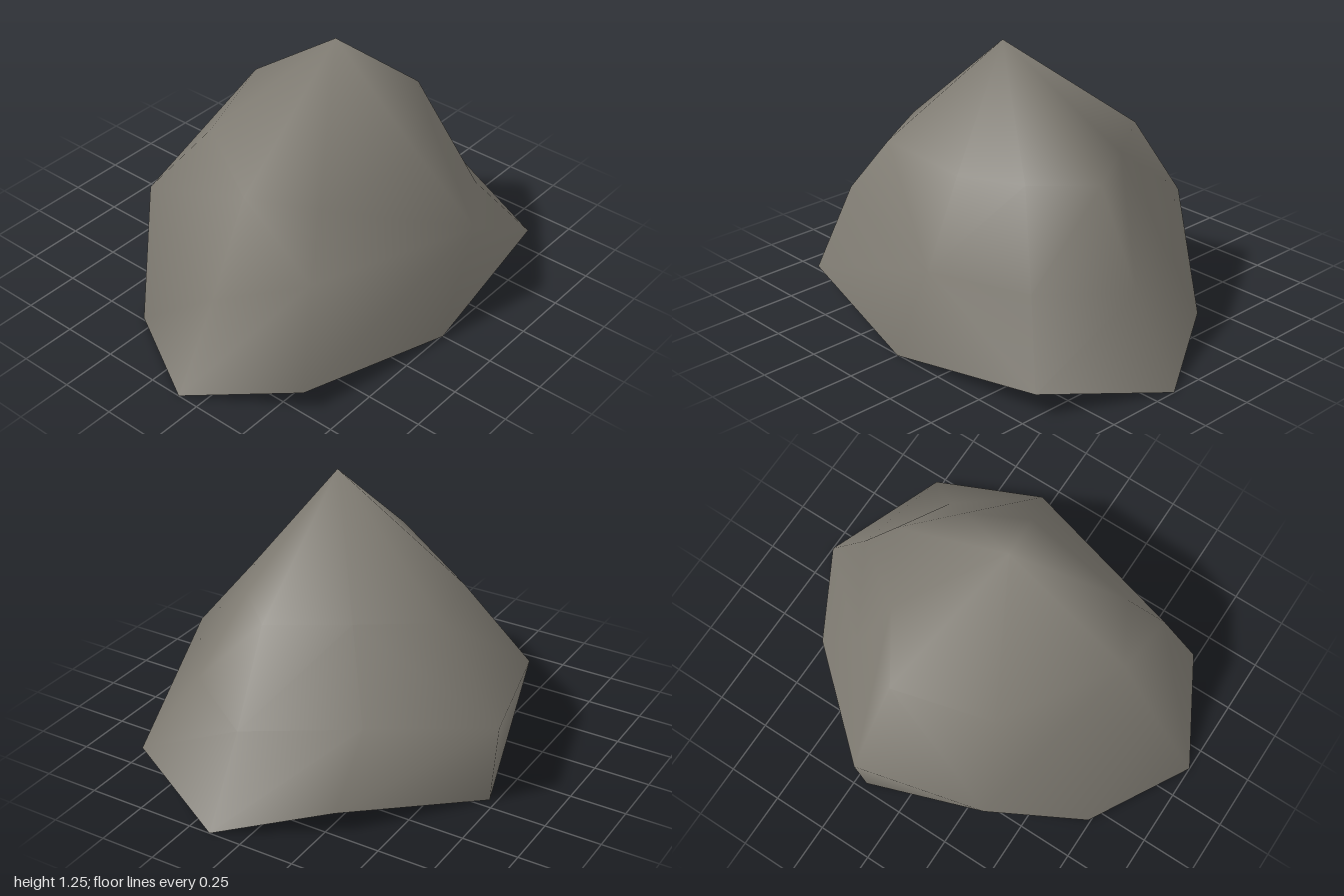
import * as THREE from 'three';

// Eight ridges running down from the peak, going round from +x towards +z.
// Each ridge: shoulder, waist and rim point.
const PEAK = [0, 1.245, 0.145];
const RIDGES = [
  [[0.58, 0.77, 0.15], [0.78, 0.37, 0.15], [1, 0, 0.15]],
  [[0.37, 0.77, 0.37], [0.55, 0.4, 0.51], [0.75, 0.1, 0.68]],
  [[0.11, 0.77, 0.505], [0.2, 0.46, 0.745], [0, 0, 0.755]],
  [[-0.43, 0.75, 0.42], [-0.59, 0.51, 0.51], [-0.74, 0.1, 0.6]],
  [[-0.58, 0.77, 0.15], [-0.78, 0.37, 0.15], [-1, 0, 0.15]],
  [[-0.25, 0.72, -0.34], [-0.37, 0.36, -0.61], [-0.74, 0, -0.31]],
  [[0.19, 0.77, -0.47], [0.21, 0.37, -0.755], [0.2, 0, -0.72]],
  [[0.39, 0.77, -0.165], [0.52, 0.38, -0.29], [0.74, 0.1, -0.29]],
];
const CENTRE = new THREE.Vector3(0, 0.3, 0.05);

function boulderGeometry() {
  const n = RIDGES.length;
  const rings = RIDGES[0].length;
  const positions = [...PEAK, ...RIDGES.flat(2)];
  const at = (ridge, ring) => 1 + (ridge % n) * rings + ring;
  const point = (i) => new THREE.Vector3().fromArray(positions, i * 3);
  // How far the middle of an edge bulges from the centre
  const bulge = (i, j) => point(i).lerp(point(j), 0.5).distanceTo(CENTRE);

  const index = [];
  for (let i = 0; i < n; i++) {
    // Cap facet, then the bands below it, each split along its outer diagonal
    index.push(0, at(i + 1, 0), at(i, 0));
    for (let r = 0; r < rings - 1; r++) {
      const a0 = at(i, r), a1 = at(i, r + 1);
      const b0 = at(i + 1, r), b1 = at(i + 1, r + 1);
      if (bulge(a0, b1) > bulge(b0, a1)) index.push(a0, b0, b1, a0, b1, a1);
      else index.push(b0, b1, a1, b0, a1, a0);
    }
  }
  const geometry = new THREE.BufferGeometry();
  geometry.setAttribute('position', new THREE.Float32BufferAttribute(positions, 3));
  geometry.setIndex(index);
  geometry.computeVertexNormals();
  return geometry;
}

export function createModel() {
  const group = new THREE.Group();
  group.name = 'rock';

  // Hollow shell, open underneath
  const stone = new THREE.MeshStandardMaterial({ color: 0x807c73, side: THREE.DoubleSide });
  stone.name = 'stone grey';
  const boulder = new THREE.Mesh(boulderGeometry(), stone);
  boulder.name = 'boulder';
  group.add(boulder);
  return group;
}
